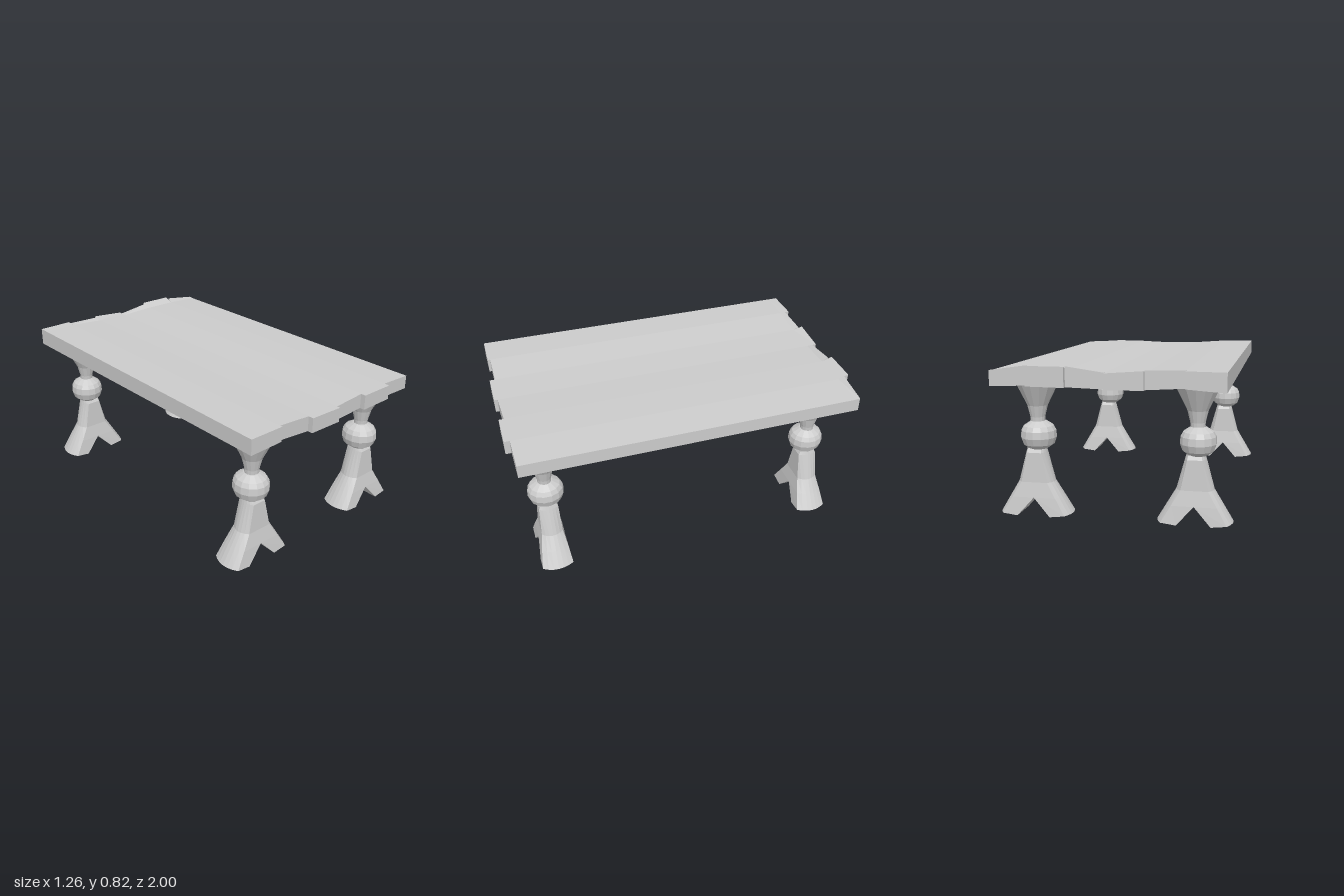
import * as THREE from 'three';

const material = new THREE.MeshStandardMaterial({ color: 0xcccccc, flatShading: true, side: THREE.DoubleSide });

function addMesh(parent, geometry, name) {
  const mesh = new THREE.Mesh(geometry, material);
  mesh.name = name;
  parent.add(mesh);
  return mesh;
}

// Warped plank heights at each seam, from x = -0.6 to x = 0.6
const frontTop = [0.815, 0.815, 0.8, 0.795, 0.803, 0.803, 0.793];
const backTop = [0.815, 0.817, 0.813, 0.797, 0.825, 0.825, 0.797];
const frontBottom = [0.728, 0.733, 0.717, 0.715, 0.72, 0.722, 0.716];
const backBottom = [0.716, 0.73, 0.717, 0.715, 0.72, 0.722, 0.716];
// Uneven plank ends: [z at left seam, z at right seam]
const frontZ = [[0.985, 0.985], [0.97, 0.97], [1, 1], [0.98, 0.972], [1, 1], [0.968, 0.965]];
const backZ = [[-1, -1], [-0.975, -0.975], [-1, -1], [-0.975, -0.975], [-1, -1], [-0.97, -0.97]];

function plankGeometry(i) {
  const g = new THREE.BoxGeometry(2, 2, 2, 1, 1, 2);
  const p = g.attributes.position;
  for (let k = 0; k < p.count; k++) {
    const side = p.getX(k) > 0 ? 1 : 0;
    const s = i + side;
    const upper = p.getY(k) > 0;
    const row = Math.round(p.getZ(k)); // 1 front, 0 kink near the back, -1 back
    const z = row === 1 ? frontZ[i][side] : row === 0 ? -0.94 : backZ[i][side];
    const heights = upper ? (row === -1 ? backTop : frontTop) : (row === 1 ? frontBottom : backBottom);
    p.setXYZ(k, (s - 3) * 0.2015, heights[s], z);
  }
  g.computeVertexNormals();
  return g;
}

// Half of the forked foot, lofted along +x: [y outer, y inner, x inner, x outer, half depth]
const footLevels = [
  [0.362, 0.362, 0, 0.05, 0.042],
  [0.34, 0.34, 0, 0.056, 0.054],
  [0.18, 0.18, 0, 0.1, 0.06],
  [0.1, 0.1, 0, 0.147, 0.075],
  [0.01, 0, 0.09, 0.2, 0.088],
];
function halfFootGeometry() {
  const arc = 6, n = arc + 3, pos = [], index = [];
  for (const [yOut, yIn, xIn, xOut, d] of footLevels) {
    const bulge = Math.min(0.028, xOut * 0.3);
    pos.push(xIn, yIn, -d);
    for (let k = 0; k <= arc; k++) {
      const t = -1 + (2 * k) / arc;
      pos.push(xOut - bulge * t * t, yOut, d * t);
    }
    pos.push(xIn, yIn, d);
  }
  const last = footLevels.length - 1;
  for (let l = 0; l < last; l++) {
    // the fork's inner face exists only on the lowest band
    const faces = l === last - 1 ? n : n - 1;
    for (let k = 0; k < faces; k++) {
      const a = l * n + k, b = l * n + ((k + 1) % n), c = a + n, e = b + n;
      index.push(a, b, c, b, e, c);
    }
  }
  // sole
  for (let k = 1; k < n - 1; k++) index.push(last * n, last * n + k, last * n + k + 1);
  const g = new THREE.BufferGeometry();
  g.setAttribute('position', new THREE.Float32BufferAttribute(pos, 3));
  g.setIndex(index);
  g.computeVertexNormals();
  return g;
}

const lathe = (points) => new THREE.LatheGeometry(points.map(([r, y]) => new THREE.Vector2(r, y)), 14);

export function createModel() {
  const group = new THREE.Group();
  group.name = 'table';

  // Tabletop of six warped planks
  const top = new THREE.Group();
  top.name = 'tabletop';
  group.add(top);
  for (let i = 0; i < 6; i++) addMesh(top, plankGeometry(i), 'plank');

  // Four turned legs with forked feet
  const capital = lathe([[0.038, 0.495], [0.04, 0.53], [0.055, 0.592], [0.123, 0.73], [0.125, 0.742]]);
  const knob = lathe([[0.045, 0.358], [0.052, 0.361], [0.083, 0.383], [0.096, 0.42], [0.093, 0.458], [0.08, 0.482], [0.042, 0.507], [0.036, 0.508]]);
  const halfFoot = halfFootGeometry();
  const mirrored = halfFoot.clone().rotateY(Math.PI);
  for (const x of [-0.43, 0.43]) {
    for (const z of [-0.765, 0.82]) {
      const leg = new THREE.Group();
      leg.name = 'leg';
      leg.position.set(x, 0, z);
      group.add(leg);
      addMesh(leg, capital, 'legCapital').position.x = -0.008;
      const ball = addMesh(leg, knob, 'legKnob');
      ball.position.x = -0.012;
      ball.scale.z = 1.06;
      addMesh(leg, halfFoot, 'footLeft');
      addMesh(leg, mirrored, 'footRight');
    }
  }
  return group;
}
